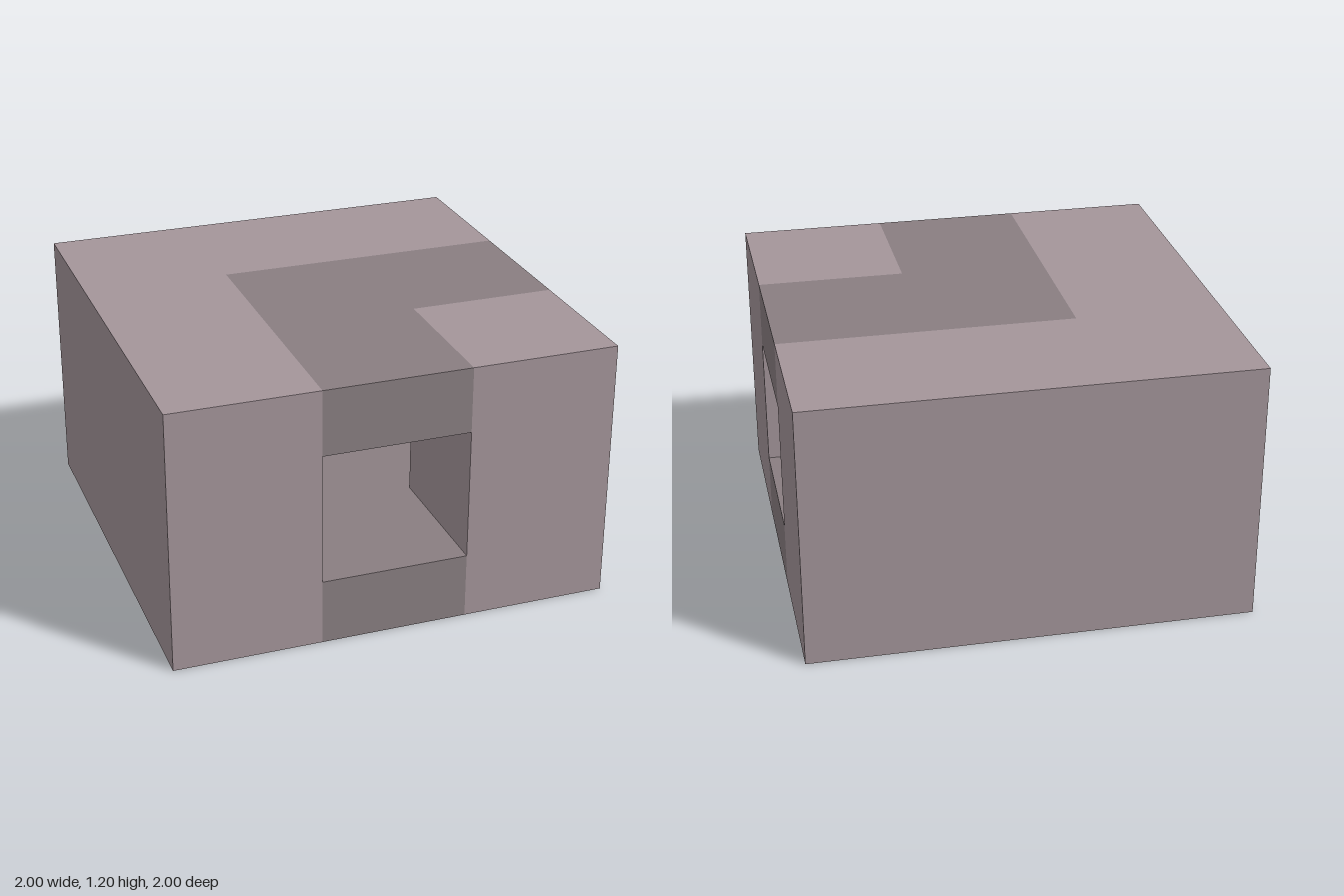
import * as THREE from 'three';

const E = 1, T = 1 / 3, HEIGHT = 1.2, SLAB = 0.3;

// Upright prism from a plan outline given as [x, z] points
function prism(name, plan, bottom, height, material) {
  const shape = new THREE.Shape(plan.map(([x, z]) => new THREE.Vector2(x, -z)));
  const geometry = new THREE.ExtrudeGeometry(shape, { depth: height, bevelEnabled: false });
  geometry.rotateX(-Math.PI / 2);
  const mesh = new THREE.Mesh(geometry, material);
  mesh.name = name;
  mesh.position.y = bottom;
  return mesh;
}

export function createModel() {
  const group = new THREE.Group();
  group.name = 'cornerTunnelBlock';
  const light = new THREE.MeshStandardMaterial({ color: 0xa4959a, flatShading: true });
  const dark = new THREE.MeshStandardMaterial({ color: 0x897e81, flatShading: true });

  // Solid L-shaped wall along the back and one side
  const wall = [[-E, -E], [E, -E], [E, -T], [-T, -T], [-T, E], [-E, E]];
  group.add(prism('outerWall', wall, 0, HEIGHT, light));

  // Post at the inside of the bend
  const post = [[T, T], [E, T], [E, E], [T, E]];
  group.add(prism('cornerPost', post, 0, HEIGHT, light));

  // Darker floor and roof of the bent passage
  const passage = [[-T, -T], [E, -T], [E, T], [T, T], [T, E], [-T, E]];
  group.add(prism('passageFloor', passage, 0, SLAB, dark));
  group.add(prism('passageRoof', passage, HEIGHT - SLAB, SLAB, dark));

  return group;
}
